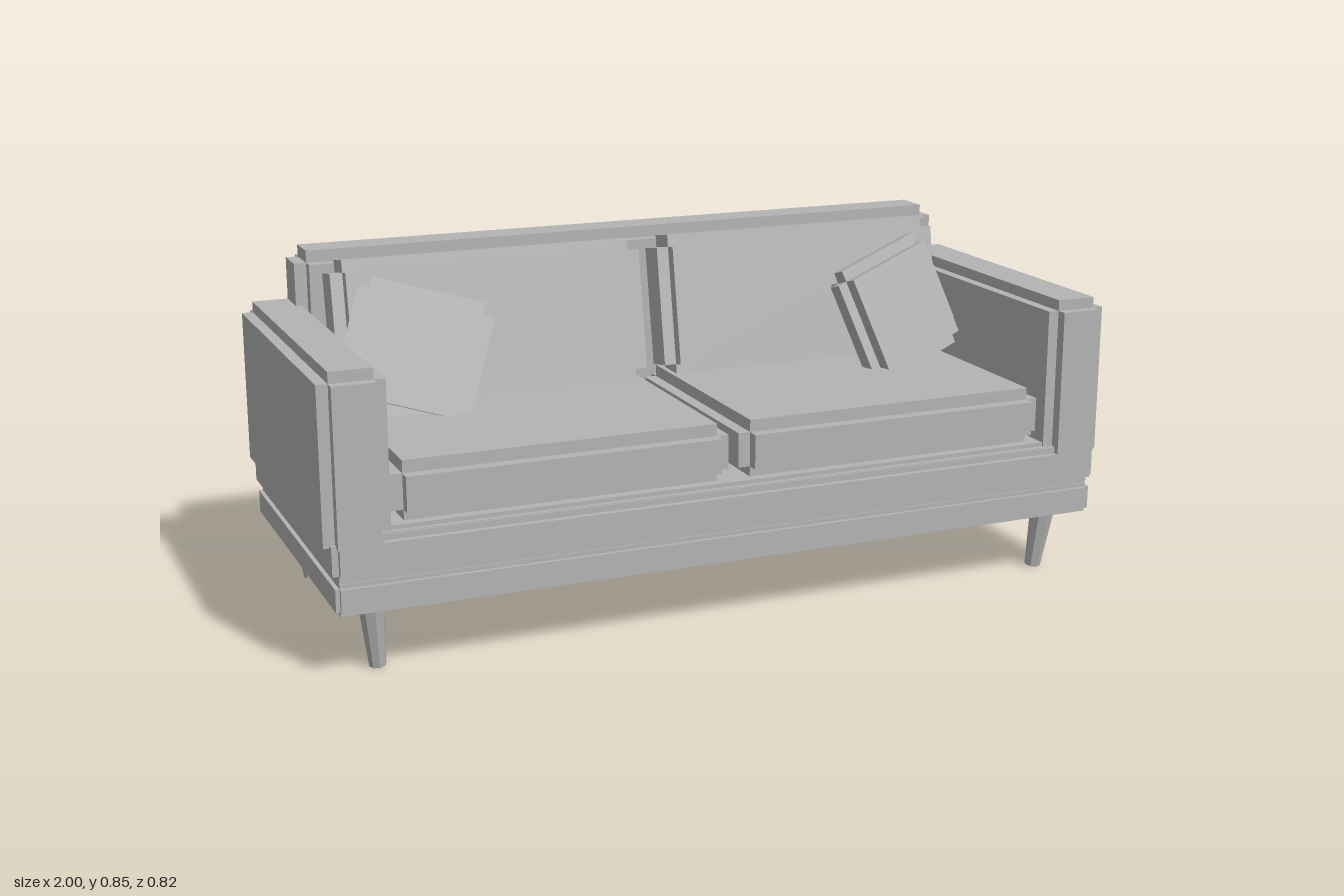
import * as THREE from 'three';

const grey = new THREE.MeshStandardMaterial({ color: 0xb4b4b4 });
grey.name = 'plain grey';

// Block with notched edges: three crossing boxes, each reaching full size along one axis.
function notchedBlock(name, [w, h, d], step, [x, y, z], rotation = [0, 0, 0]) {
  const group = new THREE.Group();
  group.name = name;
  const s = step * 2;
  const sizes = [[w, h - s, d - s], [w - s, h, d - s], [w - s, h - s, d]];
  ['Width', 'Height', 'Depth'].forEach((axis, i) => {
    const mesh = new THREE.Mesh(new THREE.BoxGeometry(...sizes[i]), grey);
    mesh.name = name + axis;
    group.add(mesh);
  });
  group.position.set(x, y, z);
  group.rotation.set(...rotation);
  return group;
}

function plainBlock(name, size, y) {
  const mesh = new THREE.Mesh(new THREE.BoxGeometry(...size), grey);
  mesh.name = name;
  mesh.position.y = y;
  return mesh;
}

// Faceted tapered leg, its foot tucked slightly inward
function leg(sx, sz) {
  const geometry = new THREE.CylinderGeometry(0.031, 0.02, 0.156, 8).toNonIndexed();
  geometry.computeVertexNormals();
  const mesh = new THREE.Mesh(geometry, grey);
  mesh.name = 'leg';
  const top = new THREE.Vector3(sx * 0.885, 0.158, sz * 0.335);
  const foot = new THREE.Vector3(sx * 0.872, 0.002, sz * 0.32);
  mesh.position.addVectors(top, foot).multiplyScalar(0.5);
  mesh.quaternion.setFromUnitVectors(new THREE.Vector3(0, 1, 0), top.sub(foot).normalize());
  return mesh;
}

export function createModel() {
  const sofa = new THREE.Group();
  sofa.name = 'sofa';

  // Frame, from the base upward
  sofa.add(
    notchedBlock('base', [1.96, 0.075, 0.81], 0.01, [0, 0.1955, 0]),
    plainBlock('frameCore', [1.94, 0.18, 0.784], 0.25),
    notchedBlock('lowerRail', [1.97, 0.1, 0.822], 0.015, [0, 0.288, 0]),
    plainBlock('seatDeck', [1.76, 0.05, 0.76], 0.325),
    notchedBlock('backrest', [1.77, 0.535, 0.15], 0.03, [0, 0.5825, -0.336])
  );

  // Mirrored halves
  for (const side of [-1, 1]) {
    sofa.add(
      notchedBlock('arm', [0.155, 0.425, 0.822], 0.027, [side * 0.9225, 0.5025, 0]),
      notchedBlock('seatCushion', [0.825, 0.145, 0.645], 0.03, [side * 0.4255, 0.4175, 0.0625]),
      notchedBlock('backCushion', [0.8, 0.364, 0.14], 0.031, [side * 0.425, 0.656, -0.19], [-0.18, 0, 0]),
      notchedBlock('throwPillow', [0.335, 0.318, 0.09], 0.029,
        [side * 0.657, 0.624, -0.056], [-0.31, side * 0.24, side * 0.34]),
      leg(side, 1),
      leg(side, -1)
    );
  }
  return sofa;
}
